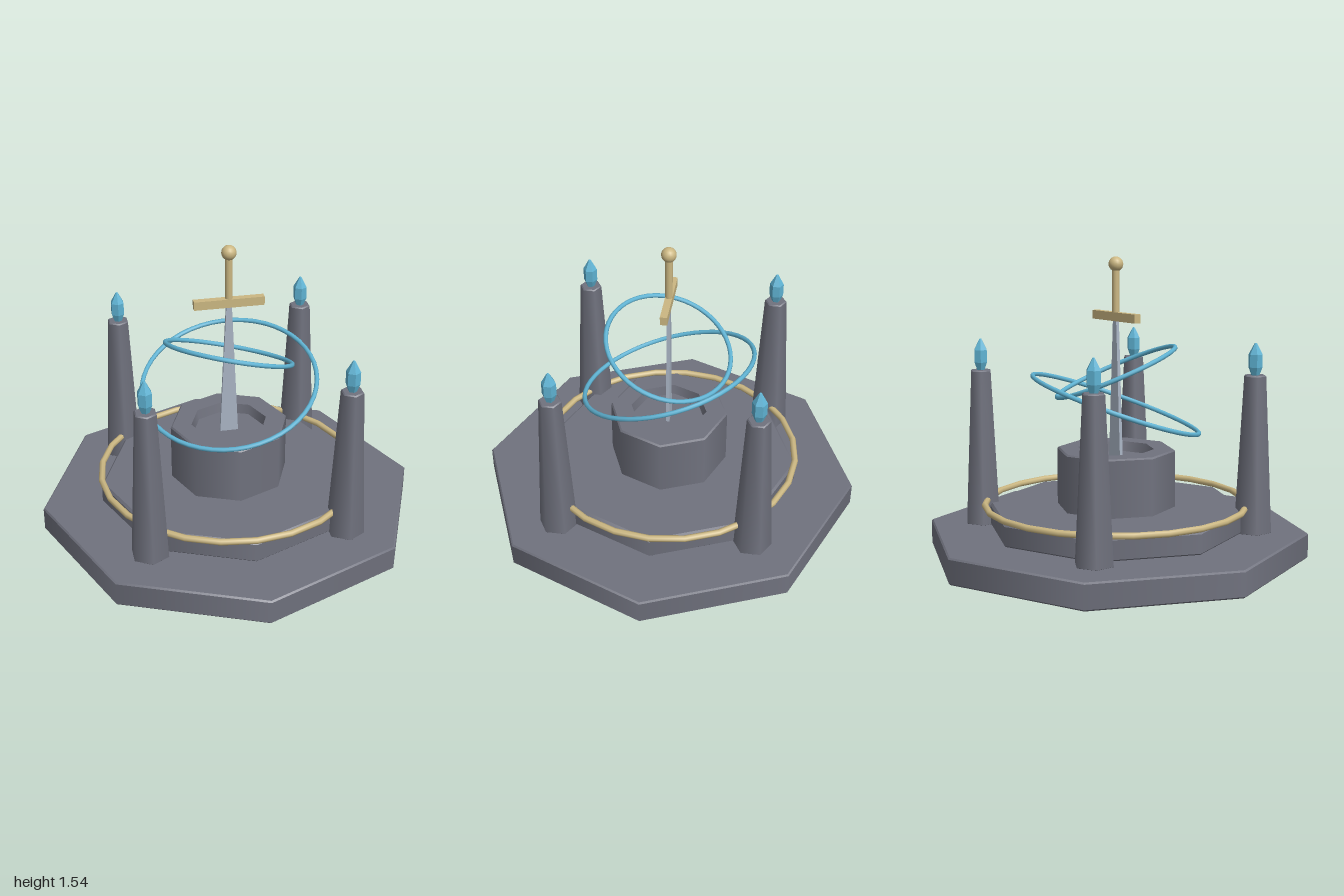
import * as THREE from 'three';
import { mergeGeometries } from 'three/addons/utils/BufferGeometryUtils.js';

const material = (name, color) => {
  const m = new THREE.MeshStandardMaterial({ color });
  m.name = name;
  return m;
};

// Turned solid: smooth around the sides, with a sharp edge at every profile point
function turned(profile, sides) {
  const points = profile.map(([r, y]) => new THREE.Vector2(r, y));
  const bands = [];
  for (let i = 0; i < points.length - 1; i++) {
    bands.push(new THREE.LatheGeometry([points[i], points[i + 1]], sides));
  }
  return mergeGeometries(bands);
}

// Closed block with a small bevel on its upper and lower rims
const block = (rBottom, rTop, y0, y1, bevel, sides) => turned([
  [0, y0], [rBottom - bevel, y0], [rBottom, y0 + bevel],
  [rTop, y1 - bevel], [rTop - bevel, y1], [0, y1],
], sides);

function faceted(geometry) {
  const flat = geometry.toNonIndexed();
  flat.computeVertexNormals();
  return flat;
}

export function createModel() {
  const model = new THREE.Group();
  model.name = 'swordShrine';
  const stone = material('stone', 0x70727e);
  const gold = material('gold', 0xcbb782);
  const crystal = material('crystal', 0x5fb3d3);
  const steel = material('steel', 0xa9b4c4);

  const add = (name, geometry, mat, x = 0, y = 0, z = 0, parent = model) => {
    const mesh = new THREE.Mesh(geometry, mat);
    mesh.name = name;
    mesh.position.set(x, y, z);
    parent.add(mesh);
    return mesh;
  };

  // Stepped octagonal platform
  add('base', block(1, 1, 0, 0.135, 0.008, 8), stone);
  add('upperStep', block(0.685, 0.685, 0.13, 0.25, 0.012, 8), stone);
  const trim = add('trimRing', new THREE.TorusGeometry(0.683, 0.017, 8, 24), gold, 0, 0.265, 0);
  trim.rotation.x = -Math.PI / 2;

  // Pedestal with a shallow octagonal recess
  add('pedestal', turned([
    [0.31, 0.24], [0.31, 0.544], [0.302, 0.552], [0.2, 0.552],
    [0.19, 0.5], [0, 0.5],
  ], 8), stone);

  // Four tapered hexagonal pillars, each tipped with a crystal
  const pillarShape = block(0.1, 0.058, 0.13, 0.95, 0.006, 6);
  const crystalShape = faceted(turned([
    [0, 0.94], [0.02, 0.945], [0.037, 0.99], [0.037, 1.055], [0.006, 1.112], [0, 1.114],
  ], 6));
  for (const [side, x] of [['Left', 0.505], ['Right', -0.505]]) {
    for (const [end, z] of [['front', 0.505], ['back', -0.505]]) {
      add(`${end}${side}Pillar`, pillarShape, stone, x, 0, z);
      add(`${end}${side}Crystal`, crystalShape, crystal, x, 0, z);
    }
  }

  // Floating rings, tilted by their slopes along x and z
  const floatingRing = (name, radius, y, slopeX, slopeZ) => {
    const ring = add(name, new THREE.TorusGeometry(radius, 0.012, 8, 48), crystal, 0, y, 0);
    const normal = new THREE.Vector3(-slopeX, 1, -slopeZ).normalize();
    ring.quaternion.setFromUnitVectors(new THREE.Vector3(0, 0, 1), normal);
  };
  floatingRing('largeRing', 0.455, 0.785, 0.17, -0.31);
  floatingRing('smallRing', 0.33, 0.953, -0.26, 0.33);

  // Sword: blade narrowing upward to the guard, then grip and pommel
  const sword = new THREE.Group();
  sword.name = 'sword';
  model.add(sword);
  const bladeShape = new THREE.Shape([
    new THREE.Vector2(-0.048, 0.49), new THREE.Vector2(0.048, 0.49),
    new THREE.Vector2(0.014, 1.22), new THREE.Vector2(-0.014, 1.22),
  ]);
  add('blade', new THREE.ExtrudeGeometry(bladeShape, { depth: 0.018, bevelEnabled: false }),
    steel, 0, 0, -0.009, sword);
  add('guard', new THREE.BoxGeometry(0.36, 0.045, 0.036), gold, 0, 1.238, 0, sword);
  add('grip', new THREE.CylinderGeometry(0.019, 0.019, 0.23, 10), gold, 0, 1.37, 0, sword);
  add('pommel', new THREE.SphereGeometry(0.038, 16, 12), gold, 0, 1.505, 0, sword);

  return model;
}
